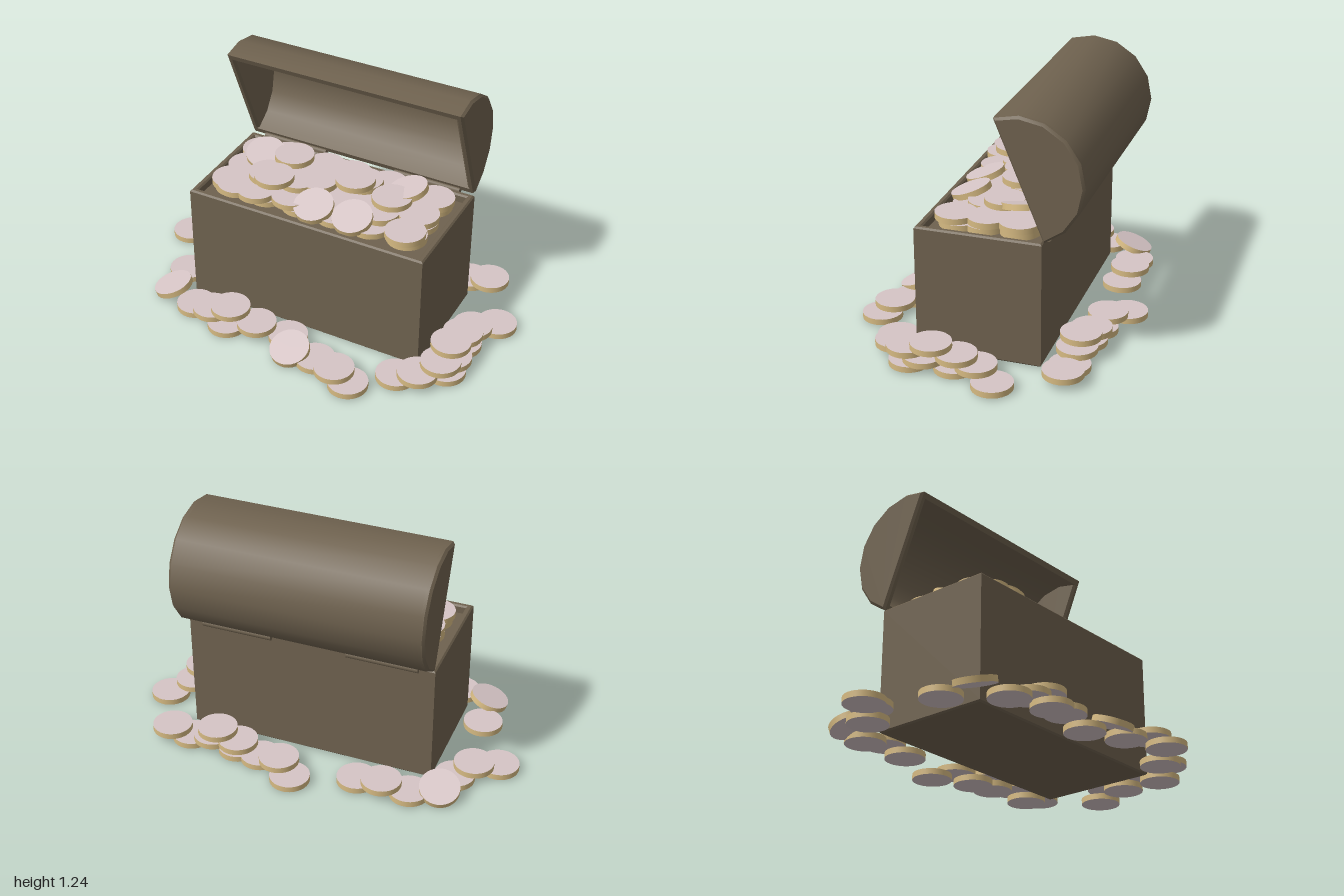
import * as THREE from 'three';
import { toCreasedNormals } from 'three/addons/utils/BufferGeometryUtils.js';

const R = 0.1;   // coin radius
const T = 0.03;  // coin thickness
const CX = 0.025; // chest centre in x
const HALF = 0.635; // half of the chest length

// x, z, stack level
const groundCoins = [
  [0.03, -0.58, 0], [0.12, -0.5, 1], [0.23, -0.48, 0], [0.35, -0.48, 2], [0.36, -0.46, 0],
  [0.47, -0.46, 3], [0.5, -0.45, 1], [0.62, -0.45, 0], [0.73, -0.45, 1],
  [-0.28, -0.47, 0], [-0.41, -0.48, 1], [-0.55, -0.47, 0],
  [-0.72, -0.28, 0], [-0.79, -0.19, 1], [-0.9, -0.12, 0], [-0.73, 0.18, 0],
  [-0.54, 0.41, 0], [-0.43, 0.43, 1], [-0.32, 0.47, 0], [-0.32, 0.43, 2.5], [-0.17, 0.43, 1],
  [0, 0.41, 0], [0.2, 0.5, 0], [0.33, 0.55, 1], [0.42, 0.58, 0],
  [0.6, 0.42, 0], [0.7, 0.39, 1], [0.78, 0.3, 2], [0.8, 0.28, 0], [0.8, 0.21, 1],
  [0.78, 0.18, 3], [0.79, 0.05, 2], [0.79, 0.06, 0], [0.8, -0.05, 1], [0.89, -0.16, 0],
];
const heapCoins = [
  [-0.45, 0, 0], [-0.46, 0.14, 0], [-0.41, 0.17, 0], [-0.3, 0.17, 0], [-0.3, 0.05, 1],
  [-0.24, 0.1, 2], [-0.14, 0.03, 1], [-0.12, 0.14, 0], [-0.05, -0.01, 1], [-0.2, -0.1, 0],
  [-0.24, -0.11, 2], [0, -0.12, 1], [0.1, 0.06, 0], [0.13, -0.06, 2], [0.15, -0.11, 1],
  [0.2, 0.02, 0], [0.32, 0.05, 0], [0.34, -0.04, 1], [0.5, -0.01, 0], [0.5, 0.15, 0],
  [0.4, -0.15, 0], [0.51, -0.17, 0], [0.25, -0.18, 0], [0.05, -0.18, 0], [-0.1, -0.18, 0],
  [-0.32, -0.18, 0], [-0.46, -0.16, 0],
];
// x, y, z, tilt about x, tilt about z
const tiltedGround = [
  [-0.71, 0.052, 0.36, 0.1, 0.3], [0.07, 0.052, 0.52, 0.35, 0], [-0.69, 0.055, -0.43, -0.35, 0.1],
];
const tiltedHeap = [
  [0.02, 0.675, 0.17, 0.35, 0], [0.23, 0.675, 0.17, 0.35, 0],
  [-0.39, 0.71, -0.08, 0.3, -0.1], [0.38, 0.7, -0.14, 0.1, 0.25],
];

// Half disc (or half ring when an inner radius is given), 8 straight facets
function halfRound(outer, inner) {
  const pts = [];
  const arc = (r, i) => new THREE.Vector2(r * Math.cos(i * Math.PI / 8), r * Math.sin(i * Math.PI / 8));
  for (let i = 0; i <= 8; i++) pts.push(arc(outer, i));
  if (inner) for (let i = 8; i >= 0; i--) pts.push(arc(inner, i));
  return new THREE.Shape(pts);
}

function rect(path, hx, hy) {
  path.moveTo(-hx, -hy);
  path.lineTo(hx, -hy);
  path.lineTo(hx, hy);
  path.lineTo(-hx, hy);
  path.closePath();
  return path;
}

export function createModel() {
  const model = new THREE.Group();
  model.name = 'treasureChest';
  const wood = new THREE.MeshStandardMaterial({ color: 0x6f624f });
  const gold = new THREE.MeshStandardMaterial({ color: 0xd6ba82 });
  const coinFace = new THREE.MeshStandardMaterial({ color: 0xd6c5c6 });
  wood.name = 'wood';
  gold.name = 'goldEdge';
  coinFace.name = 'coinFace';

  const add = (parent, name, geometry, material, x = 0, y = 0, z = 0) => {
    const mesh = new THREE.Mesh(geometry, material);
    mesh.name = name;
    mesh.position.set(x, y, z);
    parent.add(mesh);
    return mesh;
  };

  // Chest walls: an open frame with softened edges
  const bevel = 0.008;
  const frame = rect(new THREE.Shape(), HALF, 0.31);
  frame.holes.push(rect(new THREE.Path(), HALF - 0.032, 0.278));
  const walls = new THREE.ExtrudeGeometry(frame, {
    depth: 0.635 - 2 * bevel, bevelThickness: bevel, bevelSize: bevel, bevelOffset: -bevel, bevelSegments: 1,
  });
  walls.rotateX(-Math.PI / 2);
  add(model, 'chestWalls', walls, wood, CX, 0.01 + bevel, -0.01);
  add(model, 'chestFloor', new THREE.BoxGeometry(1.22, 0.59, 0.57), wood, CX, 0.306, -0.01);

  // Domed lid, swung open
  const lid = new THREE.Group();
  lid.name = 'lid';
  lid.position.set(CX, 0.935, -0.2075);
  lid.rotation.x = -THREE.MathUtils.degToRad(67.5);
  model.add(lid);
  const shell = new THREE.ExtrudeGeometry(halfRound(0.31, 0.28), { depth: 1.24, bevelEnabled: false });
  shell.translate(0, 0, -0.62).rotateY(Math.PI / 2);
  add(lid, 'lidShell', toCreasedNormals(shell, 0.6), wood);
  for (const side of [-1, 1]) {
    const cap = new THREE.ExtrudeGeometry(halfRound(0.31), {
      depth: 0.016, bevelThickness: 0.012, bevelSize: 0.012, bevelOffset: -0.012, bevelSegments: 1,
    });
    cap.translate(0, 0, -0.008).rotateY(Math.PI / 2);
    add(lid, 'lidEnd', toCreasedNormals(cap, 0.6), wood, side * (HALF - 0.02));

    // Hinge barrels
    const hinge = new THREE.CylinderGeometry(0.019, 0.019, 0.36, 16);
    hinge.rotateZ(Math.PI / 2);
    add(model, 'hinge', hinge, wood, CX + side * 0.375, 0.643, -0.325);
  }

  // Coins: gold edge with pale faces
  const coinGeometry = new THREE.CylinderGeometry(R, R, T, 32);
  const coinMaterials = [gold, coinFace, coinFace];
  const pile = (name, flat, tilted, base) => {
    const group = new THREE.Group();
    group.name = name;
    for (const [x, z, level] of flat) {
      add(group, 'coin', coinGeometry, coinMaterials, x, base + (level + 0.5) * T, z);
    }
    for (const [x, y, z, rx, rz] of tilted) {
      add(group, 'tiltedCoin', coinGeometry, coinMaterials, x, y, z).rotation.set(rx, 0, rz);
    }
    model.add(group);
  };
  pile('groundCoins', groundCoins, tiltedGround, 0.01);
  pile('heapCoins', heapCoins, tiltedHeap, 0.65);

  // Bottom layer that fills the chest just under the rim
  const layer = [];
  for (let i = 0; i < 6; i++) {
    for (const z of [-0.17, 0, 0.13]) layer.push([-0.45 + i * 0.19, z, 0]);
  }
  pile('lowerCoins', layer, [], 0.619);

  return model;
}
